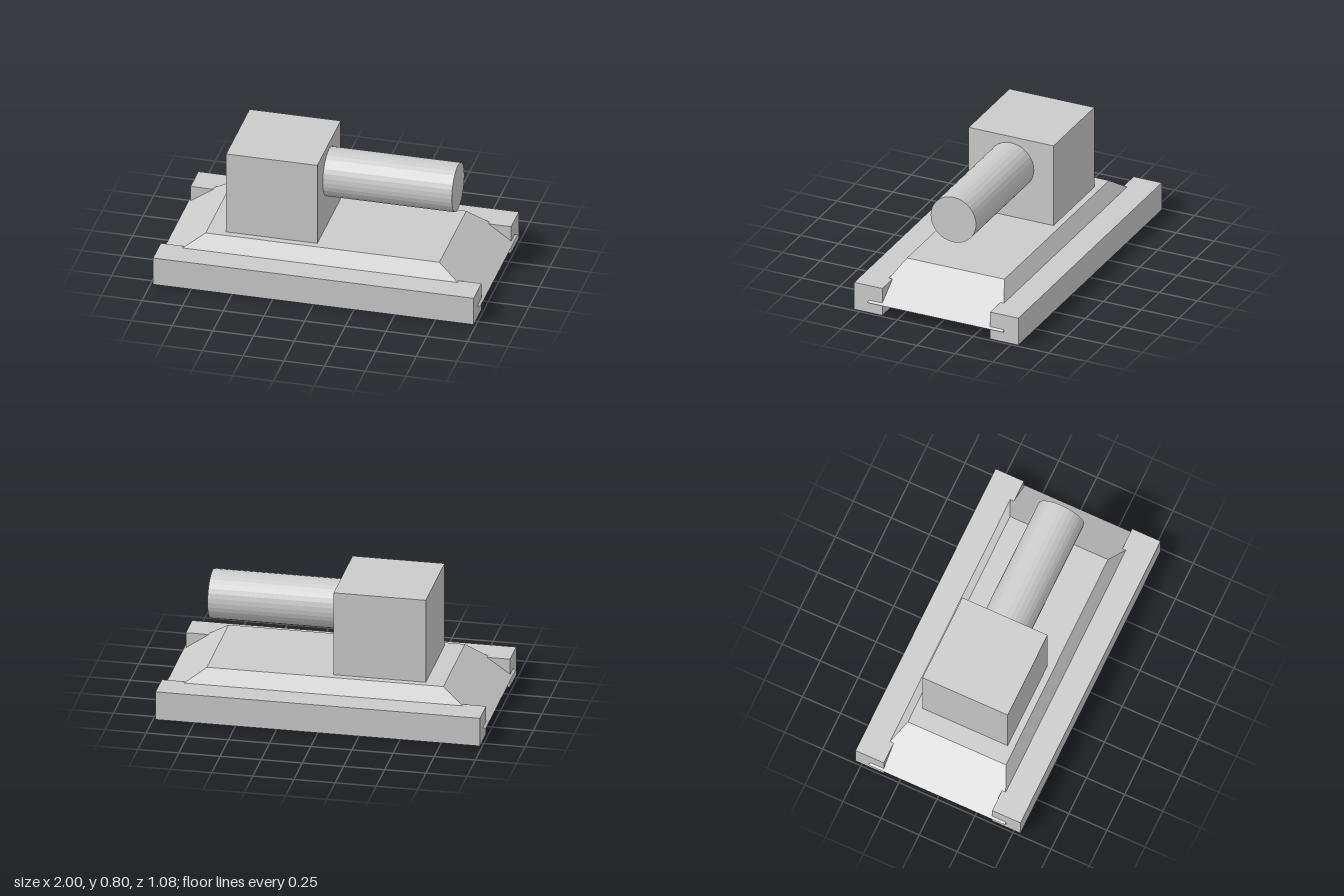
import * as THREE from 'three';

const material = new THREE.MeshStandardMaterial({ color: 0xcccccc, flatShading: true });

function addPart(group, name, geometry, x, y, z) {
  const mesh = new THREE.Mesh(geometry, material);
  mesh.name = name;
  mesh.position.set(x, y, z);
  group.add(mesh);
  return mesh;
}

// Box whose top face is scaled inward to give sloped sides
function taperedBox(width, height, depth, topWidth, topDepth) {
  const geometry = new THREE.BoxGeometry(width, height, depth);
  const p = geometry.attributes.position;
  for (let i = 0; i < p.count; i++) {
    if (p.getY(i) > 0) {
      p.setX(i, Math.sign(p.getX(i)) * topWidth / 2);
      p.setZ(i, Math.sign(p.getZ(i)) * topDepth / 2);
    }
  }
  geometry.computeVertexNormals();
  return geometry;
}

export function createModel() {
  const tank = new THREE.Group();
  tank.name = 'tank';

  // Sloped hull
  addPart(tank, 'hull', taperedBox(2, 0.197, 0.9, 1.436, 0.644), 0, 0.1705, 0);

  // Tracks along both long sides
  for (const side of [1, -1]) {
    addPart(tank, side > 0 ? 'frontTrack' : 'backTrack',
      new THREE.BoxGeometry(1.97, 0.18, 0.186), 0, 0.09, side * 0.449);
  }

  // Turret block, set towards -x
  addPart(tank, 'turret', new THREE.BoxGeometry(0.56, 0.532, 0.56), -0.323, 0.535, 0);

  // Barrel pointing along +x
  const barrel = new THREE.CylinderGeometry(0.15, 0.15, 0.793, 32).rotateZ(-Math.PI / 2);
  addPart(tank, 'barrel', barrel, 0.3535, 0.61, 0);

  return tank;
}
